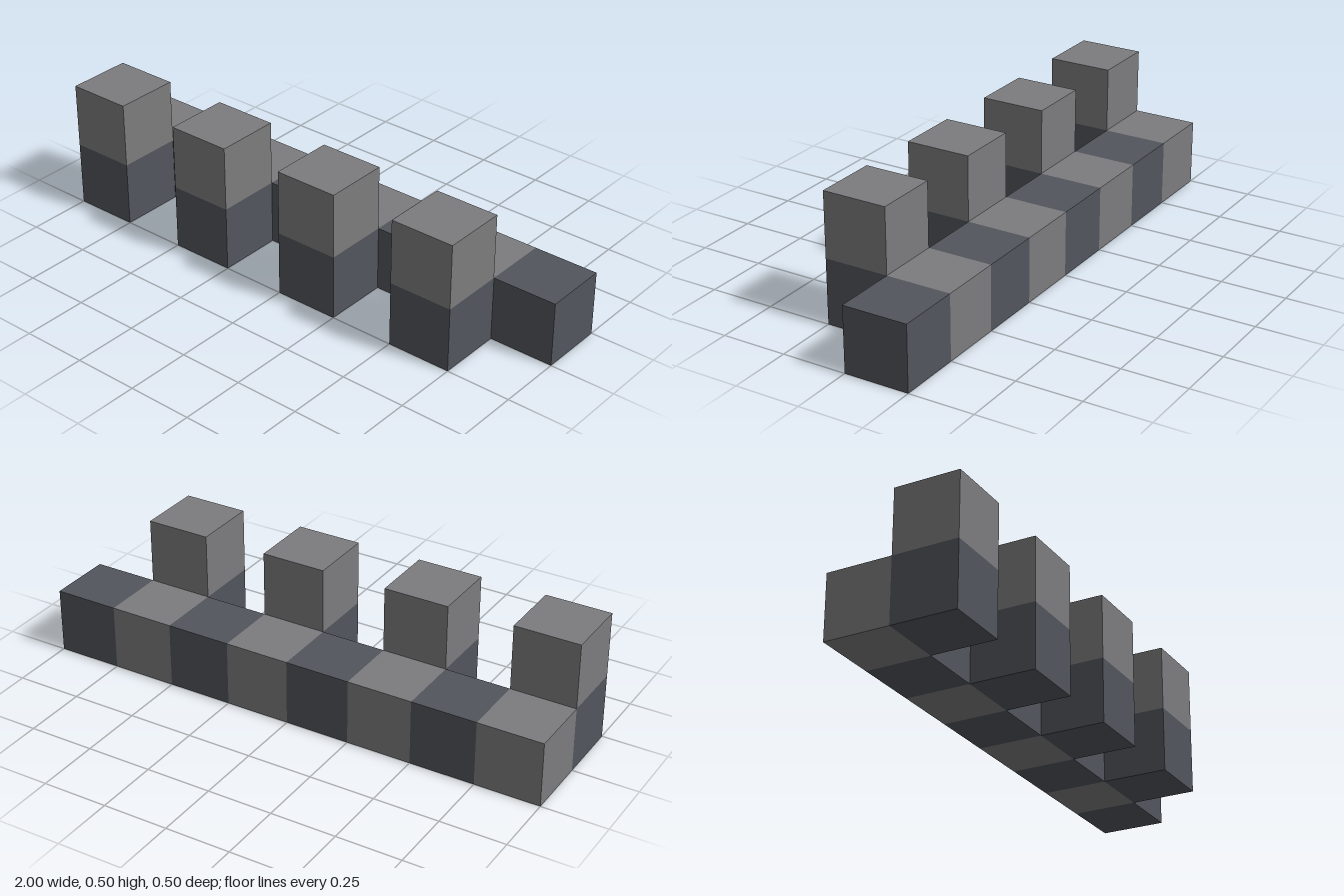
import * as THREE from 'three';

const SIZE = 0.25;
const COUNT = 8;

export function createModel() {
  const model = new THREE.Group();
  model.name = 'battlement';

  const light = new THREE.MeshStandardMaterial({ color: 0x7c7c7e, flatShading: true });
  const dark = new THREE.MeshStandardMaterial({ color: 0x52555c, flatShading: true });
  const cube = new THREE.BoxGeometry(SIZE, SIZE, SIZE);

  // Place a cube by its column, level and row (row 0 is the back, 1 the front)
  const addBlock = (name, material, column, level, row) => {
    const block = new THREE.Mesh(cube, material);
    block.name = name;
    block.position.set(-1 + (column + 0.5) * SIZE, (level + 0.5) * SIZE, (row - 0.5) * SIZE);
    model.add(block);
  };

  for (let i = 0; i < COUNT; i++) {
    const even = i % 2 === 0;
    // Walkway of alternating stones along the back
    addBlock('walkwayBlock', even ? light : dark, i, 0, 0);
    // Two-block merlon in front of every second stone
    if (even) {
      addBlock('merlonBase', dark, i, 0, 1);
      addBlock('merlonTop', light, i, 1, 1);
    }
  }
  return model;
}
